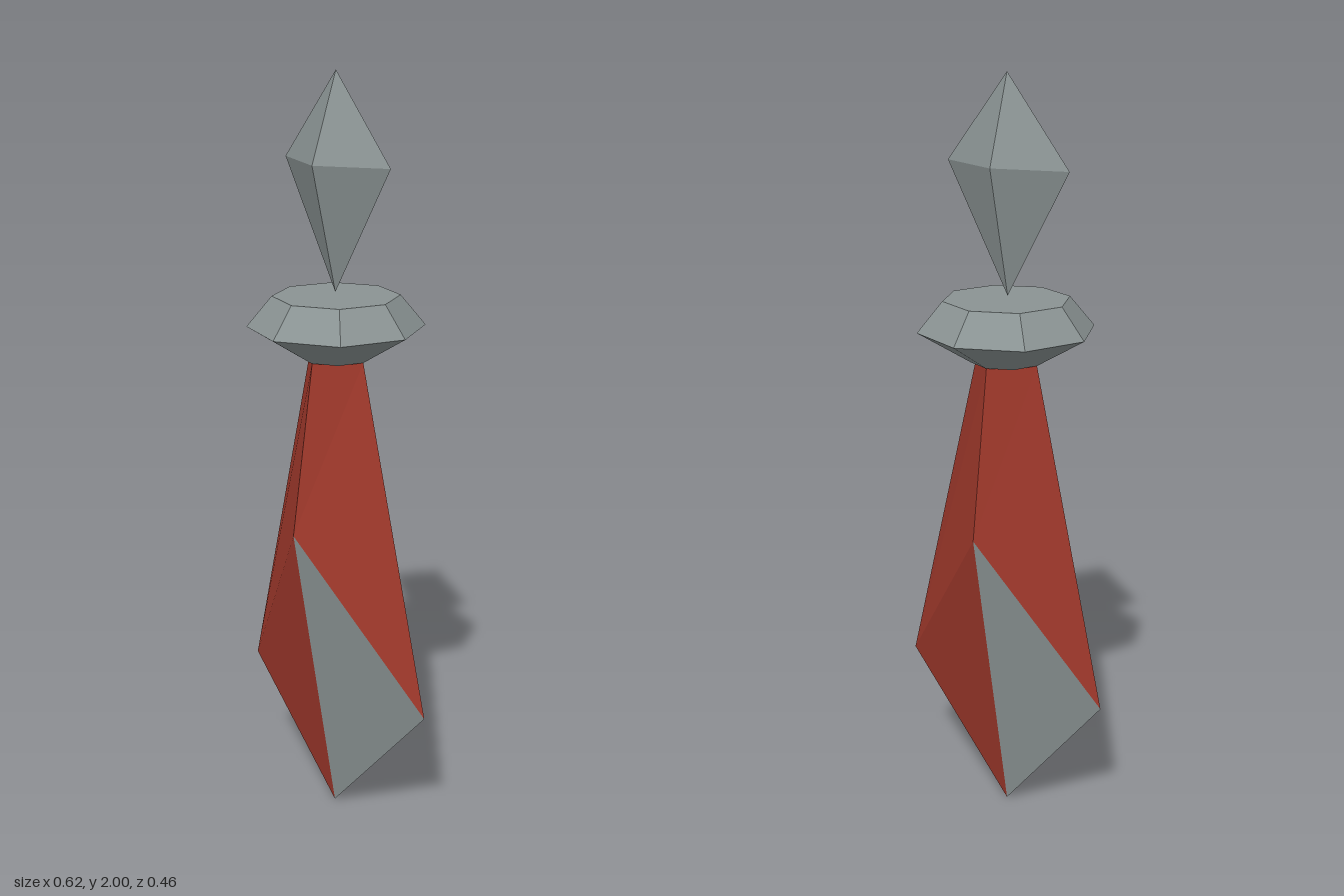
import * as THREE from 'three';

export function createModel() {
  const model = new THREE.Group();
  const red = new THREE.MeshStandardMaterial({ color: 0x9f382b });
  const grey = new THREE.MeshStandardMaterial({ color: 0x8a9393 });
  red.name = 'red body';
  grey.name = 'grey metal';

  // Faceted mesh from polygons (triangles or quads), counter-clockwise from outside
  function facets(name, polygons, material) {
    const points = [];
    for (const p of polygons) {
      for (let i = 1; i < p.length - 1; i++) points.push(...p[0], ...p[i], ...p[i + 1]);
    }
    const geometry = new THREE.BufferGeometry();
    geometry.setAttribute('position', new THREE.Float32BufferAttribute(points, 3));
    geometry.computeVertexNormals();
    const mesh = new THREE.Mesh(geometry, material);
    mesh.name = name;
    model.add(mesh);
  }

  // Corner rings run front, right, back, left
  const cx = -0.022;

  // Tapered body with alternating red and grey lower panels
  const tip = [cx + 0.005, 0, 0.014];
  const waist = [[cx, 0.845, 0.165], [0.31, 0.38, 0.026], [cx, 0.845, -0.152], [-0.31, 0.37, 0.022]];
  const neck = [[cx, 1.29, 0.09], [0.07, 1.29, 0], [cx, 1.29, -0.09], [-0.114, 1.29, 0]];
  const redFaces = [neck];
  const greyFaces = [];
  for (let i = 0; i < 4; i++) {
    const j = (i + 1) % 4;
    redFaces.push([waist[i], waist[j], neck[j], neck[i]]);
    (i % 2 === 0 ? greyFaces : redFaces).push([waist[j], waist[i], tip]);
  }
  facets('body', redFaces, red);
  facets('lowerPanels', greyFaces, grey);

  // Eight-sided collar
  function collarPart(name, rTop, rBottom, y0, y1, open) {
    const geometry = new THREE.CylinderGeometry(rTop, rBottom, y1 - y0, 8, 1, open).toNonIndexed();
    geometry.computeVertexNormals();
    const mesh = new THREE.Mesh(geometry, grey);
    mesh.name = name;
    mesh.position.set(cx, (y0 + y1) / 2, 0);
    model.add(mesh);
  }
  collarPart('collarLower', 0.228, 0.092, 1.29, 1.372);
  collarPart('collarUpper', 0.163, 0.228, 1.372, 1.45);

  // Floating crystal
  const top = [cx, 2, 0];
  const bottom = [cx - 0.003, 1.458, 0];
  const girdle = [[cx, 1.78, 0.086], [0.159, 1.78, 0.006], [cx, 1.78, -0.073], [-0.211, 1.78, -0.017]];
  const crystal = [];
  for (let i = 0; i < 4; i++) {
    const a = girdle[i], b = girdle[(i + 1) % 4];
    crystal.push([a, b, top], [b, a, bottom]);
  }
  facets('crystal', crystal, grey);

  return model;
}
